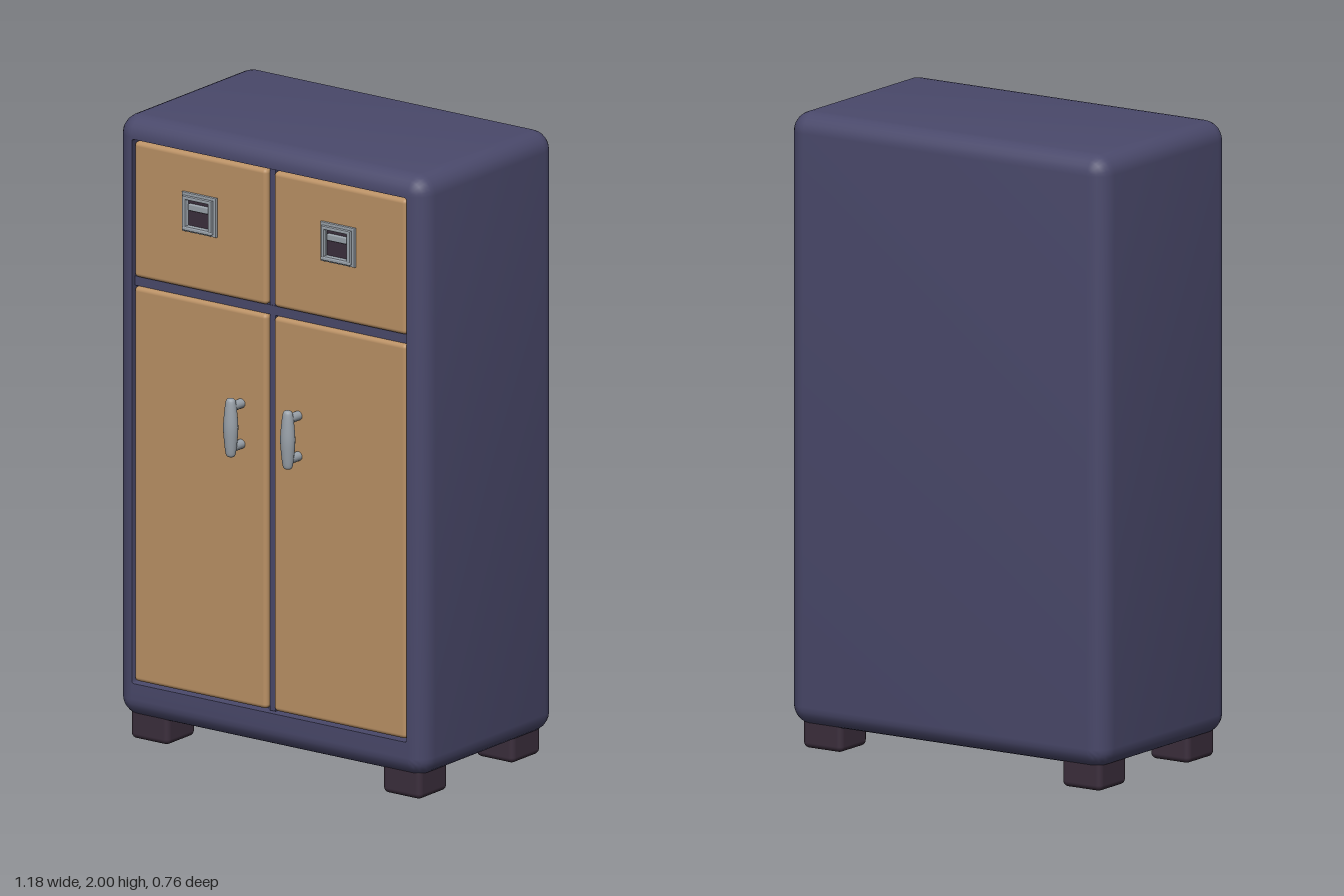
import * as THREE from 'three';
import { toCreasedNormals } from 'three/addons/utils/BufferGeometryUtils.js';
import { RoundedBoxGeometry } from 'three/addons/geometries/RoundedBoxGeometry.js';

const material = (name, color) => {
  const m = new THREE.MeshStandardMaterial({ color });
  m.name = name;
  return m;
};

// One rounded-rectangle cross-section, counter-clockwise seen from the front
function ring(halfW, bottom, top, radius, z, steps = 6) {
  const points = [];
  for (let corner = 0; corner < 4; corner++) {
    const cx = (corner === 0 || corner === 3 ? 1 : -1) * (halfW - radius);
    const cy = corner < 2 ? top - radius : bottom + radius;
    for (let i = 0; i <= steps; i++) {
      const a = (corner + i / steps) * Math.PI / 2;
      points.push([cx + radius * Math.cos(a), cy + radius * Math.sin(a), z]);
    }
  }
  return points;
}

// Skin a list of rings from back to front and close both ends
function loft(rings) {
  const n = rings[0].length, positions = [], index = [];
  rings.forEach(r => r.forEach(p => positions.push(...p)));
  const last = (rings.length - 1) * n;
  for (let k = 0; k < rings.length - 1; k++) {
    for (let j = 0; j < n; j++) {
      const a = k * n + j, b = k * n + (j + 1) % n;
      index.push(a, b, b + n, a, b + n, a + n);
    }
  }
  for (let j = 1; j < n - 1; j++) {
    index.push(0, j + 1, j, last, last + j, last + j + 1);
  }
  const g = new THREE.BufferGeometry();
  g.setAttribute('position', new THREE.Float32BufferAttribute(positions, 3));
  g.setIndex(index);
  return toCreasedNormals(g, 0.6);
}

export function createModel() {
  const navy = material('navy paint', 0x4a496b);
  const wood = material('light wood', 0xba9165);
  const metal = material('grey metal', 0x99a1a9);
  const dark = material('dark plum', 0x3b2e3c);

  const model = new THREE.Group();
  model.name = 'cabinet';
  const add = (parent, name, geometry, mat, x = 0, y = 0, z = 0) => {
    const mesh = new THREE.Mesh(geometry, mat);
    mesh.name = name;
    mesh.position.set(x, y, z);
    parent.add(mesh);
    return mesh;
  };
  const roundedBox = (w, h, d, r) => new RoundedBoxGeometry(w, h, d, 4, r);

  // Carcass: rounded on every outer edge, with a shallow recess for the fronts
  const W = 0.59, bottom = 0.075, top = 2, back = -0.38, front = 0.307, R = 0.062, steps = 6;
  const rings = [];
  const rounded = (a, zCentre, side) => {
    const inset = R * (1 - Math.cos(a));
    rings.push(ring(W - inset, bottom + inset, top - inset,
      Math.max(R - inset, 0.001), zCentre + side * R * Math.sin(a)));
  };
  for (let i = steps; i >= 0; i--) rounded(i / steps * Math.PI / 2, back + R, -1);
  for (let i = 0; i <= steps; i++) rounded(i / steps * Math.PI / 2, front - R, 1);
  rings.push(ring(0.525, 0.188, 1.932, 0.008, front));
  rings.push(ring(0.525, 0.188, 1.932, 0.008, 0.265));
  add(model, 'carcass', loft(rings), navy);

  // Rail between drawers and doors, and the central stile
  add(model, 'rail', new THREE.BoxGeometry(1.05, 0.03, 0.03), navy, 0, 1.475, 0.275);
  add(model, 'stile', new THREE.BoxGeometry(0.022, 1.74, 0.03), navy, 0, 1.06, 0.273);

  // Curved grip profile, turned about the vertical axis
  const gripCurve = new THREE.SplineCurve([
    [0.001, -0.095], [0.012, -0.091], [0.017, -0.078], [0.022, -0.035], [0.024, 0],
    [0.022, 0.035], [0.017, 0.078], [0.012, 0.091], [0.001, 0.095],
  ].map(p => new THREE.Vector2(...p)));
  const gripGeometry = new THREE.LatheGeometry(gripCurve.getPoints(28), 20);

  // Square drawer-pull surround with an open window
  const square = (path, w, h) => path.moveTo(-w, -h).lineTo(w, -h).lineTo(w, h).lineTo(-w, h).closePath();
  const surround = (w, h, depth, bevel) => {
    const shape = square(new THREE.Shape(), w - bevel, h - bevel);
    shape.holes.push(square(new THREE.Path(), 0.043 + bevel, 0.042 + bevel));
    return new THREE.ExtrudeGeometry(shape, {
      depth, bevelEnabled: true, bevelSize: bevel, bevelThickness: bevel, bevelSegments: 2,
    });
  };

  for (const side of [-1, 1]) {
    const label = side > 0 ? 'left' : 'right';

    // Fronts
    add(model, label + 'Door', roundedBox(0.508, 1.265, 0.04, 0.014), wood, side * 0.267, 0.8275, 0.284);
    add(model, label + 'Drawer', roundedBox(0.508, 0.435, 0.04, 0.014), wood, side * 0.267, 1.7075, 0.284);

    // Door handle: a grip on two posts
    const handle = new THREE.Group();
    handle.name = label + 'DoorHandle';
    handle.position.set(side * 0.109, 1.095, 0);
    model.add(handle);
    add(handle, 'grip', gripGeometry, metal, 0, 0, 0.358).scale.z = 0.92;
    for (const y of [-0.065, 0.065]) {
      const post = add(handle, 'post', new THREE.CylinderGeometry(0.015, 0.015, 0.06, 16), metal, 0, y, 0.326);
      post.rotation.x = Math.PI / 2;
    }

    // Drawer pull: stepped surround, dark inset, finger bar and lower lip
    const pull = new THREE.Group();
    pull.name = label + 'DrawerPull';
    pull.position.set(side * 0.265, 1.738, 0.304);
    model.add(pull);
    add(pull, 'backPlate', surround(0.065, 0.063, 0.006, 0.003), metal, 0, 0, 0.001);
    add(pull, 'rim', surround(0.056, 0.054, 0.006, 0.004), metal, 0, 0, 0.011);
    add(pull, 'inset', new THREE.BoxGeometry(0.09, 0.09, 0.004), dark, 0, 0, 0.002);
    add(pull, 'fingerBar', roundedBox(0.076, 0.022, 0.012, 0.004), metal, 0, 0.019, 0.009);
    add(pull, 'lowerLip', roundedBox(0.112, 0.012, 0.012, 0.004), metal, 0, -0.05, 0.016);

    // Feet
    for (const [end, z] of [['Front', 0.205], ['Back', -0.272]]) {
      add(model, label + end + 'Foot', roundedBox(0.146, 0.1, 0.146, 0.018), dark, side * 0.482, 0.05, z);
    }
  }
  return model;
}
